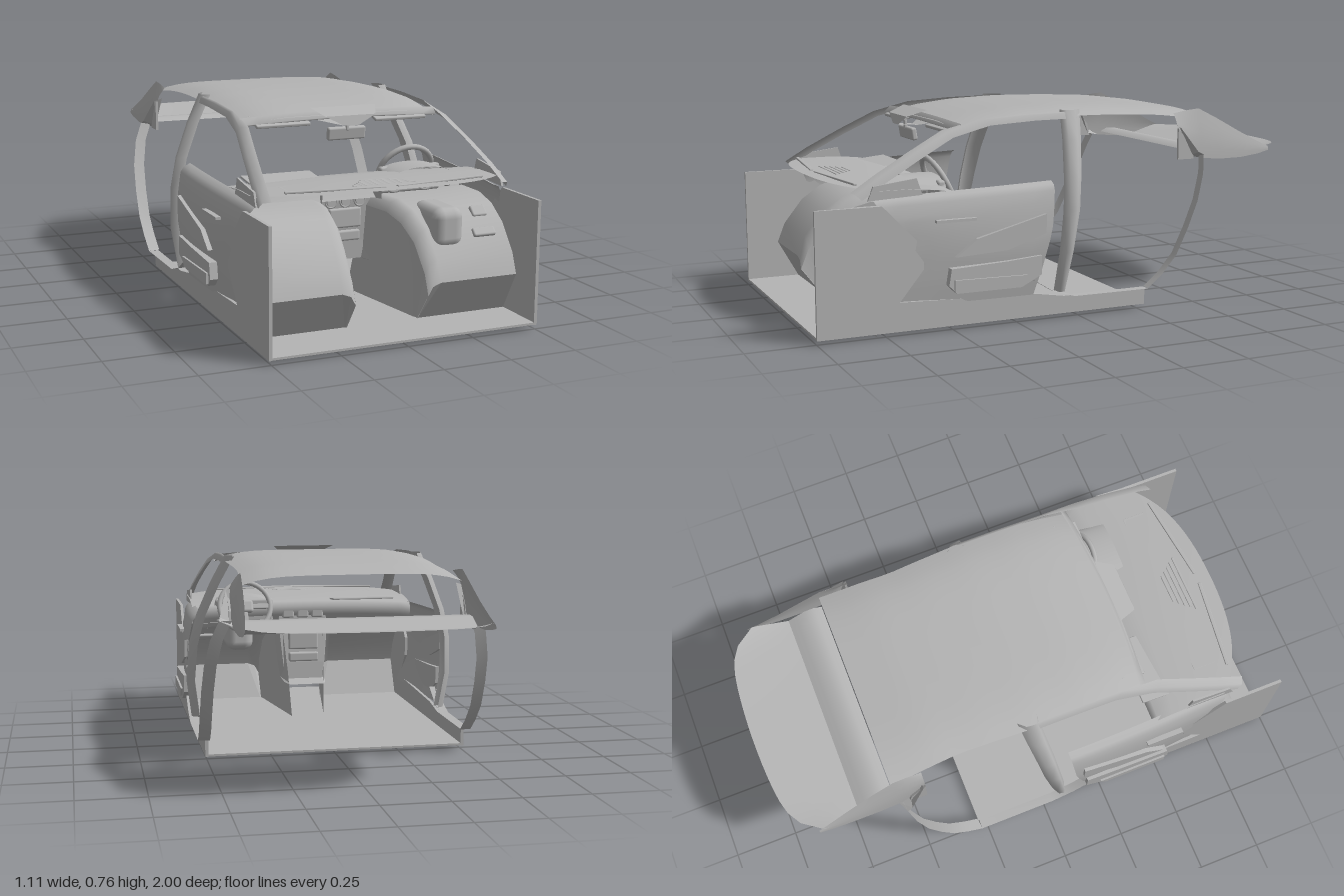
import * as THREE from 'three';
import { RoundedBoxGeometry } from 'three/addons/geometries/RoundedBoxGeometry.js';

const grey = new THREE.MeshStandardMaterial({ color: 0xb4b4b4, side: THREE.DoubleSide });
grey.name = 'plain grey';

// Skin stretched over rows of [x, y, z] points; every row has the same length
function loft(rows) {
  const n = rows[0].length, index = [];
  for (let i = 0; i < rows.length - 1; i++) for (let j = 0; j < n - 1; j++) {
    const a = i * n + j, b = a + n;
    index.push(a, b, a + 1, b, b + 1, a + 1);
  }
  const g = new THREE.BufferGeometry();
  g.setAttribute('position', new THREE.Float32BufferAttribute(rows.flat(2), 3));
  g.setIndex(index);
  g.computeVertexNormals();
  return g;
}
// Same skin with hard edges
function hardLoft(rows) {
  const g = loft(rows).toNonIndexed();
  g.computeVertexNormals();
  return g;
}
// Linear lookup in a short list of [key, value] pairs with rising keys
function curve(pairs, t) {
  for (let i = 1; i < pairs.length; i++) {
    const [a, va] = pairs[i - 1], [b, vb] = pairs[i];
    if (t <= b) return va + (vb - va) * Math.max(0, (t - a) / (b - a));
  }
  return pairs[pairs.length - 1][1];
}
const steps = (a, b, n) => Array.from({ length: n + 1 }, (_, i) => a + (b - a) * i / n);

export function createModel() {
  const car = new THREE.Group();
  car.name = 'carCabin';
  const add = (name, geo, x = 0, y = 0, z = 0, rx = 0) => {
    const m = new THREE.Mesh(geo, grey);
    m.name = name;
    m.position.set(x, y, z);
    m.rotation.x = rx;
    car.add(m);
    return m;
  };
  const box = (name, w, h, d, x, y, z, rx = 0, r = 0.008) =>
    add(name, new RoundedBoxGeometry(w, h, d, 2, Math.min(r, w / 3, h / 3, d / 3)), x, y, z, rx);
  // Flat side plate drawn in (z, y), standing at a given x
  const sidePlate = (name, pts, x, depth) => {
    const shape = new THREE.Shape(pts.map(([z, y]) => new THREE.Vector2(-z, y)));
    const m = add(name, new THREE.ExtrudeGeometry(shape, { depth, bevelEnabled: false }), x - depth / 2);
    m.rotation.y = Math.PI / 2;
    return m;
  };

  // Floor
  add('floor', new THREE.BoxGeometry(1.01, 0.008, 1.28), 0, 0.02, 0.36);

  // Roof
  const roofY = [[-0.58, 0.725], [-0.4, 0.747], [-0.2, 0.757], [0, 0.76], [0.2, 0.752], [0.33, 0.737], [0.45, 0.712]];
  const roofW = [[-0.58, 0.4], [-0.3, 0.385], [0, 0.4], [0.2, 0.4], [0.45, 0.385]];
  add('roof', loft(steps(-0.58, 0.43, 20).map(z => steps(-1, 1, 16).map(u => [
    u * curve(roofW, z),
    curve(roofY, z) + 0.004 - 0.03 * Math.pow(Math.abs(u), 5),
    z + (z > 0.3 ? 0.03 * (1 - u * u) * (z - 0.3) / 0.13 : 0)]))));

  // Windscreen header, visors and mirror
  add('windscreenHeader', loft([[0.735, 0.44], [0.712, 0.465], [0.705, 0.45]].map(([y, z]) =>
    steps(-0.39, 0.39, 12).map(x => [x, y - 0.09 * x * x, z - 0.15 * x * x]))));
  add('headerConsole', hardLoft([[0.13, 0.75, 0.45], [0.1, 0.725, 0.52], [0.03, 0.69, 0.53], [0.03, 0.685, 0.45], [0.1, 0.7, 0.4]]
    .map(([w, y, z]) => [[-w, y, z], [w, y, z]])));
  box('mirrorStem', 0.012, 0.04, 0.012, 0, 0.685, 0.49);
  box('rearViewMirror', 0.15, 0.048, 0.022, 0, 0.655, 0.48, 0.15);
  for (const s of [-1, 1]) box('sunVisor', 0.21, 0.012, 0.1, s * 0.235, 0.703, 0.41, 0.25);

  // Rear shelf and tail deck
  const deck = [[0, -0.58, 0.565], [0, -0.61, 0.58], [0, -0.65, 0.578], [0, -0.69, 0.56], [0, -0.72, 0.545]];
  const us = steps(-1, 1, 16);
  add('rearShelf', loft(deck.map(([, z, y]) => us.map(u => [u * 0.42, y, z]))));
  const tailZ = u => -1 + 0.04 * u * u + 0.1 * Math.pow(Math.abs(u), 8);
  add('tailDeck', loft(steps(0, 1, 4).map(t => us.map(u =>
    [u * (0.42 + 0.012 * t), 0.545 + 0.038 * t, -0.72 + (tailZ(u) + 0.72) * t]))));

  // Dashboard shell, bowed towards the windscreen
  const dash = [[1, 0.527], [0.6, 0.527], [0.25, 0.517], [0.06, 0.505], [0, 0.485], [0.03, 0.45], [0.1, 0.41]];
  add('dashboard', loft(steps(-0.48, 0.48, 24).map(x => dash.map(([t, y]) => {
    const front = 0.91 - 0.3 * x * x - 1.6 * x ** 4, back = 0.46;
    return [x, y - 0.06 * x * x, back + (front - back) * t];
  }))));
  for (const s of [-1, 1]) {
    box('demisterSlot', 0.36, 0.008, 0.014, s * 0.2, 0.527, 0.835).rotation.y = s * 0.12;
    box('dashTopPanel', 0.16, 0.006, 0.09, s * 0.27, 0.517, 0.73);
  }
  for (let i = 0; i < 5; i++) box('centreGrille', 0.24 - i * 0.03, 0.008, 0.009, 0, 0.525, 0.8 - i * 0.018);
  box('airbagPanel', 0.27, 0.008, 0.15, -0.265, 0.508, 0.52, 0.1);

  // Centre console with its gauges, radio and switches
  add('centreConsole', hardLoft([[0.1, 0.5, 0.485], [0.105, 0.4, 0.475], [0.09, 0.24, 0.455], [0.08, 0.17, 0.45], [0.075, 0.16, 0.36]]
    .map(([w, y, z]) => [[-w - 0.015, y, z + 0.06], [-w, y, z], [w, y, z], [w + 0.015, y, z + 0.06]])));
  const ring = (name, r, x, y, z) => {
    add(name, new THREE.TorusGeometry(r, r * 0.16, 6, 24), x, y, z);
    add(name + 'Face', new THREE.CylinderGeometry(r * 0.8, r * 0.8, 0.012, 24), x, y, z, Math.PI / 2);
  };
  for (let i = -1; i <= 1; i++) {
    box('airVent', 0.052, 0.052, 0.03, i * 0.064, 0.46, 0.482);
    ring('smallGauge', 0.022, i * 0.058, 0.4, 0.48);
  }
  box('radio', 0.13, 0.075, 0.03, 0, 0.335, 0.467);
  box('heaterPanel', 0.13, 0.04, 0.03, 0, 0.265, 0.458);

  // Instrument cluster, steering column and wheel
  box('instrumentPanel', 0.25, 0.1, 0.03, 0.255, 0.47, 0.49, 0, 0.014);
  for (const x of [0.19, 0.32]) ring('mainGauge', 0.042, x, 0.466, 0.5);
  box('displayPanel', 0.035, 0.05, 0.03, 0.255, 0.47, 0.498);
  const hood = add('clusterHood', new THREE.CylinderGeometry(0.13, 0.13, 0.13, 24, 1, true, Math.PI / 2, Math.PI), 0.255, 0.49, 0.54, Math.PI / 2);
  hood.scale.z = 0.32;
  box('columnHousing', 0.12, 0.15, 0.2, 0.255, 0.345, 0.72, 0, 0.04);
  const wheel = new THREE.Group();
  wheel.name = 'steeringWheel';
  const part = (name, g, x = 0, y = 0) => {
    const m = new THREE.Mesh(g, grey);
    m.name = name;
    m.position.set(x, y, 0);
    wheel.add(m);
  };
  part('wheelRim', new THREE.TorusGeometry(0.11, 0.011, 8, 36));
  part('wheelHub', new RoundedBoxGeometry(0.07, 0.055, 0.03, 2, 0.012));
  for (const x of [-0.07, 0.07]) part('wheelSpoke', new RoundedBoxGeometry(0.09, 0.022, 0.012, 2, 0.004), x);
  part('wheelSpoke', new RoundedBoxGeometry(0.022, 0.09, 0.012, 2, 0.004), 0, -0.07);
  wheel.position.set(0.255, 0.49, 0.455);
  wheel.rotation.x = 0.45;
  car.add(wheel);
  box('switchPanel', 0.09, 0.035, 0.02, 0.405, 0.315, 0.79, -0.8);
  box('keypad', 0.06, 0.045, 0.02, 0.42, 0.375, 0.72, -0.8);

  // Everything that is mirrored left and right
  for (const s of [-1, 1]) {
    // Footwell: toe board, sloping bulkhead and inner tunnel wall
    const well = [[0.78, 0], [0.875, 0.17], [0.845, 0.245], [0.77, 0.34], [0.69, 0.395], [0.6, 0.42], [0.47, 0.42]];
    const inner = z => 0.07 + 0.07 * (z - 0.35) / 0.45;
    const wellRow = ([z, y]) => {
      const i = inner(Math.min(z, 0.8)), k = Math.min(1, y / 0.17);
      return [[s * 0.495, y, z], [s * (i + 0.05 * k), y, z], [s * (i + 0.018 * k), y - 0.012 * k, z], [s * i, y - 0.045 * k, z]];
    };
    add('toeBoard', hardLoft([wellRow(well[0]), wellRow(well[1])]));
    add('bulkhead', loft(well.slice(1).map(wellRow)));
    add('tunnelWall', loft(well.concat([[0.4, 0.25], [0.35, 0.04]]).map(([z, y]) => {
      const i = s * inner(Math.min(z, 0.8));
      return [[i, y > 0.17 ? y - 0.045 : y * 0.75, z], [i, 0, Math.min(z, 0.78)]];
    })));

    // Front side panel, running back as the sill
    sidePlate('sidePanel', [[1, 0.015], [1, 0.465], [0.76, 0.465], [0.61, 0.31], [0.61, 0.23], [0.7, 0.12],
      [0.18, 0.1], [0.06, 0.08], [-0.28, 0.08], [-0.28, 0.015]], s * 0.502, 0.012);
    add('sillStep', loft([[0.2, 0.16], [0.12, 0.11], [0.03, 0.082], [-0.28, 0.08]].map(([z, y]) =>
      [[s * 0.5, y, z], [s * 0.535, y, z]])));

    // Door trim, gently bowed
    const rear = [[0.1, 0.19], [0.2, 0.16], [0.35, 0.12], [0.51, 0.1]];
    const front = [[0.1, 0.72], [0.24, 0.64], [0.32, 0.64], [0.42, 0.74], [0.51, 0.78]];
    const bow = [[0.1, 0.515], [0.2, 0.53], [0.3, 0.538], [0.4, 0.53], [0.48, 0.515], [0.5, 0.5], [0.51, 0.475]];
    add('doorTrim', loft([0.1, 0.15, 0.2, 0.25, 0.3, 0.35, 0.4, 0.44, 0.48, 0.5, 0.51].map(y => steps(0, 1, 8).map(t => {
      const a = curve(rear, y), b = curve(front, y);
      return [s * (curve(bow, y) - 0.03 * t * t), y - 0.025 * t * (y > 0.4 ? 1 : 0), a + (b - a) * t];
    }))));
    const pocket = [[0.53, 0.17], [0.5, 0.14], [0.25, 0.14], [0.17, 0.18], [0.17, 0.25], [0.3, 0.24], [0.52, 0.23]];
    sidePlate('doorPocket', pocket, s * 0.532, 0.03);
    sidePlate('pocketGrille', [[0.51, 0.15], [0.25, 0.15], [0.23, 0.185], [0.51, 0.19]], s * 0.54, 0.03);
    sidePlate('armrest', [[0.5, 0.27], [0.42, 0.33], [0.15, 0.4], [0.15, 0.33], [0.3, 0.28]], s * 0.535, 0.018);
    sidePlate('doorRidge', [[0.57, 0.405], [0.42, 0.405], [0.42, 0.395], [0.57, 0.395]], s * 0.528, 0.02);
    const speaker = add('dashSideVent', new THREE.TorusGeometry(0.022, 0.009, 8, 20), s * 0.42, 0.455, 0.49);
    speaker.rotation.y = s * 0.4;
    box('dashSideVentCore', 0.03, 0.03, 0.03, s * 0.42, 0.455, 0.49);

    // Windscreen pillar flowing into the roof rail
    const pillar = [[0.475, 0.495, 0.84], [0.465, 0.55, 0.75], [0.445, 0.62, 0.62], [0.42, 0.69, 0.48], [0.405, 0.725, 0.33], [0.405, 0.735, 0.15], [0.405, 0.737, -0.02]];
    add('windscreenPillar', loft(pillar.map(([x, y, z], i) => {
      const w = i < 4 ? 0.036 : 0.018;
      return [[s * (x - w), y + 0.012, z + 0.012], [s * (x - 0.008), y + 0.008, z], [s * x, y - 0.012, z - 0.02]];
    })));
    sidePlate('quarterTrim', [[0.8, 0.48], [0.78, 0.53], [0.62, 0.55], [0.6, 0.49]], s * 0.472, 0.008);

    // Middle pillar, leaning inwards to the roof
    const middle = [[0.1, 0.525, 0.085, 0.035], [0.25, 0.545, 0.07, 0.045], [0.4, 0.535, 0.05, 0.055], [0.52, 0.505, 0.035, 0.06], [0.65, 0.45, 0.015, 0.065], [0.755, 0.395, 0, 0.07]];
    add('middlePillar', loft(middle.map(([y, x, z, w]) =>
      [[s * (x - 0.035), y, z + 0.01], [s * x, y, z], [s * (x - 0.005), y, z - w * 0.6], [s * (x - 0.03), y, z - w]])));

    // Rear door jamb, a curved strip
    const jamb = [[0.08, -0.28], [0.13, -0.34], [0.2, -0.4], [0.3, -0.45], [0.4, -0.495], [0.5, -0.53], [0.57, -0.55]];
    const jambX = [[0.08, 0.535], [0.25, 0.54], [0.4, 0.53], [0.5, 0.51], [0.57, 0.48]];
    add('rearJamb', loft(jamb.map(([y, z]) => {
      const x = curve(jambX, y);
      return [[s * x, y, z], [s * (x - 0.045), y, z - 0.006]];
    })));
    add('jambCap', hardLoft([[[s * 0.48, 0.57, -0.55], [s * 0.43, 0.55, -0.57]], [[s * 0.475, 0.58, -0.53], [s * 0.425, 0.56, -0.52]],
      [[s * 0.445, 0.67, -0.47], [s * 0.41, 0.68, -0.47]]]));

    // Rear side panel, tapering from the roof to the tail
    const sail = [[-0.46, 0.725, 0.66, 0.4], [-0.52, 0.735, 0.58, 0.402], [-0.57, 0.74, 0.55, 0.404], [-0.65, 0.7, 0.542, 0.408],
      [-0.75, 0.645, 0.543, 0.415], [-0.83, 0.603, 0.553, 0.424], [-0.88, 0.58, 0.565, 0.43]];
    add('rearSidePanel', loft(sail.map(([z, top, low, x]) => steps(0, 1, 4).map(t =>
      [s * (x + (0.434 - x) * Math.sin(t * Math.PI / 2)), top + (low - top) * t, z]))));
    sidePlate('rearQuarterFrame', [[-0.46, 0.67], [-0.46, 0.55], [-0.53, 0.55], [-0.52, 0.6]], s * 0.436, 0.01);
  }
  return car;
}
